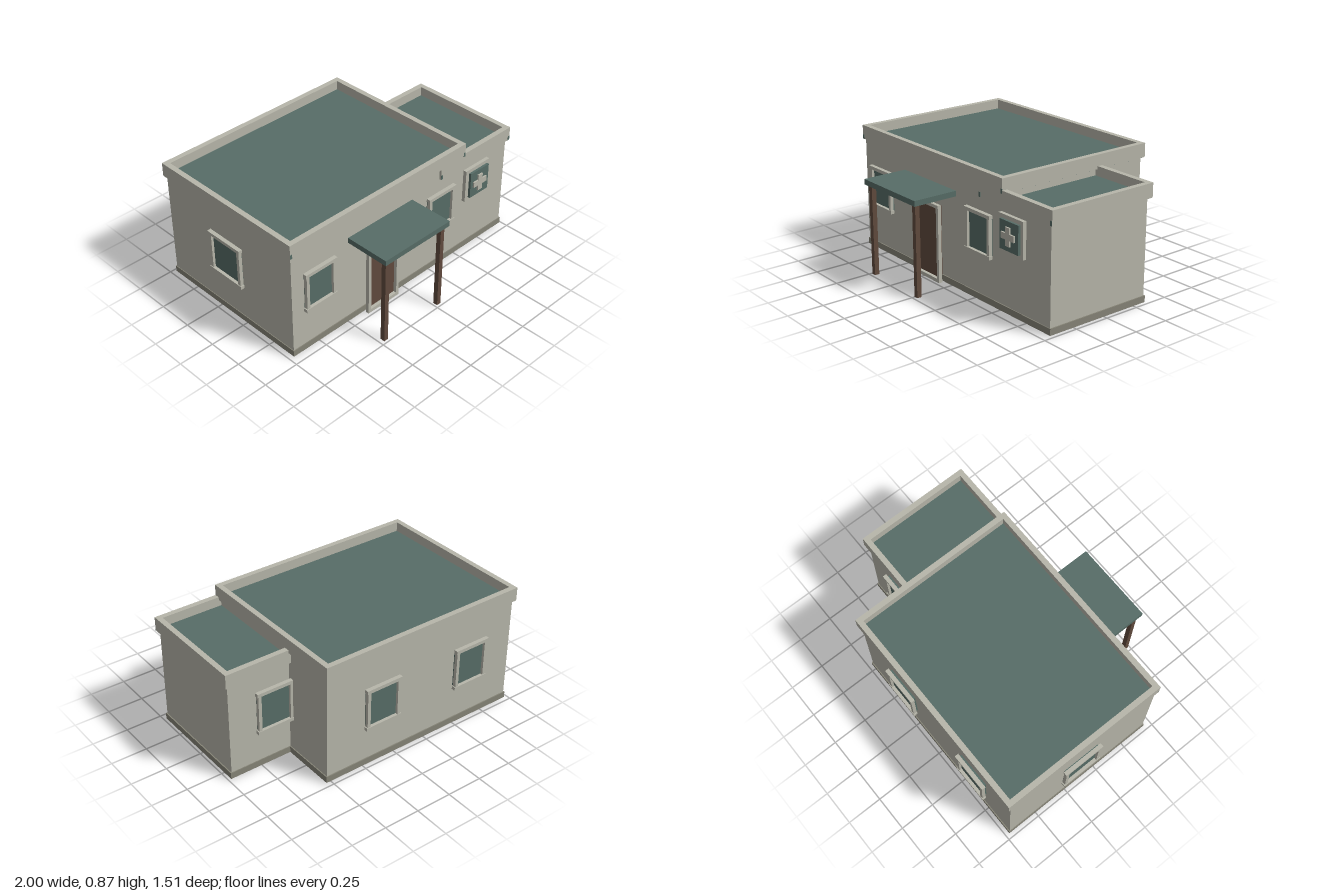
import * as THREE from 'three';

const mat = (name, color) => new THREE.MeshStandardMaterial({ name, color });

export function createModel() {
  const model = new THREE.Group();
  model.name = 'clinic';
  const plaster = mat('plaster', 0xb7b6aa);
  const base = mat('plinth grey', 0x868477);
  const green = mat('dull green', 0x576d67);
  const wood = mat('dark wood', 0x604a3d);

  // Box given by its low and high limits on each axis
  function box(name, material, x0, x1, y0, y1, z0, z1, parent = model) {
    const mesh = new THREE.Mesh(new THREE.BoxGeometry(x1 - x0, y1 - y0, z1 - z0), material);
    mesh.position.set((x0 + x1) / 2, (y0 + y1) / 2, (z0 + z1) / 2);
    mesh.name = name;
    parent.add(mesh);
    return mesh;
  }

  // Walls of the main block and the lower annex, reaching just below the plinth
  box('mainWalls', plaster, -0.965, 0.53, 0.006, 0.782, -0.716, 0.44);
  box('annexWalls', plaster, 0.53, 0.977, 0.006, 0.702, -0.332, 0.44);

  // L-shaped plinth
  const outline = [[-0.97, -0.446], [0.985, -0.446], [0.985, 0.338], [0.537, 0.338], [0.537, 0.723], [-0.97, 0.723]];
  const plinthShape = new THREE.Shape(outline.map(([x, y]) => new THREE.Vector2(x, y)));
  const plinth = new THREE.Mesh(new THREE.ExtrudeGeometry(plinthShape, { depth: 0.044, bevelEnabled: false }), base);
  plinth.rotation.x = -Math.PI / 2;
  plinth.position.y = 0.008;
  plinth.name = 'plinth';
  model.add(plinth);

  // Flat roof slab inside a parapet, with the slab ends showing at the front corners
  function roof(name, x0, x1, z0, z1, y0, floor, y1) {
    const g = new THREE.Group();
    g.name = name;
    const t = 0.037;
    box('roofSlab', green, x0 + 0.002, x1 - 0.002, y0 - 0.001, floor, z0 + 0.002, z1 - 0.002, g);
    box('parapetFront', plaster, x0, x1, y0, y1, z1 - t, z1, g);
    box('parapetBack', plaster, x0, x1, y0, y1, z0, z0 + t, g);
    box('parapetLeft', plaster, x1 - t, x1, y0, y1, z0 + t, z1 - t, g);
    box('parapetRight', plaster, x0, x0 + t, y0, y1, z0 + t, z1 - t, g);
    for (const x of [x0, x1 - 0.016]) box('slabEnd', green, x, x + 0.016, y0, floor, z1 - 0.002, z1 + 0.001, g);
    model.add(g);
  }
  roof('mainRoof', -0.978, 0.547, -0.738, 0.455, 0.777, 0.807, 0.873);
  roof('annexRoof', 0.318, 0.999, -0.355, 0.455, 0.7, 0.732, 0.797);

  // Framed window facing local +z; the head and sill are a little wider than the jambs
  function windowUnit(name, x, y, z, w, h, turn) {
    const g = new THREE.Group();
    g.name = name;
    const a = w / 2, b = h / 2, t = 0.023, d = 0.04;
    box('glass', green, -a + 0.015, a - 0.015, -b + 0.015, b - 0.015, -0.005, 0.018, g);
    box('head', plaster, -a, a, b - t, b, 0.012, d, g);
    box('sill', plaster, -a, a, -b, -b + t, 0.012, d, g);
    for (const s of [-1, 1]) {
      const c = s * (a - 0.007 - t / 2);
      box('jamb', plaster, c - t / 2, c + t / 2, -b + t, b - t, 0.012, d - 0.004, g);
    }
    g.position.set(x, y, z);
    g.rotation.y = turn;
    model.add(g);
  }
  for (const x of [-0.753, 0.32]) windowUnit('frontWindow', x, 0.469, 0.439, 0.255, 0.288, 0);
  for (const x of [-0.603, 0.117]) windowUnit('backWindow', x, 0.444, -0.718, 0.273, 0.3, Math.PI);
  windowUnit('annexBackWindow', 0.655, 0.43, -0.334, 0.273, 0.304, Math.PI);
  windowUnit('sideWindow', -0.96, 0.444, -0.145, 0.3, 0.3, -Math.PI / 2);

  // Door and its surround, which stands a little off the wall
  box('door', wood, -0.34, -0.095, 0.02, 0.526, 0.435, 0.456);
  for (const x of [-0.356, -0.103]) box('doorJamb', plaster, x, x + 0.023, 0, 0.512, 0.454, 0.479);
  box('doorHead', plaster, -0.356, -0.08, 0.512, 0.534, 0.454, 0.479);
  box('doorSill', plaster, -0.333, -0.103, 0, 0.025, 0.454, 0.479);

  // Canopy on two posts
  box('canopy', green, -0.498, 0.065, 0.63, 0.667, 0.437, 0.757);
  for (const x of [-0.477, 0.01]) box('post', wood, x, x + 0.032, 0.007, 0.63, 0.704, 0.737);

  // Wall sign with a plain cross
  box('signFrame', plaster, 0.54, 0.77, 0.426, 0.668, 0.454, 0.479);
  box('signPanel', green, 0.57, 0.747, 0.452, 0.642, 0.438, 0.496);
  box('crossUpright', plaster, 0.636, 0.677, 0.487, 0.607, 0.49, 0.507);
  for (const x of [0.594, 0.677]) box('crossArm', plaster, x, x + 0.042, 0.527, 0.568, 0.49, 0.507);

  return model;
}
